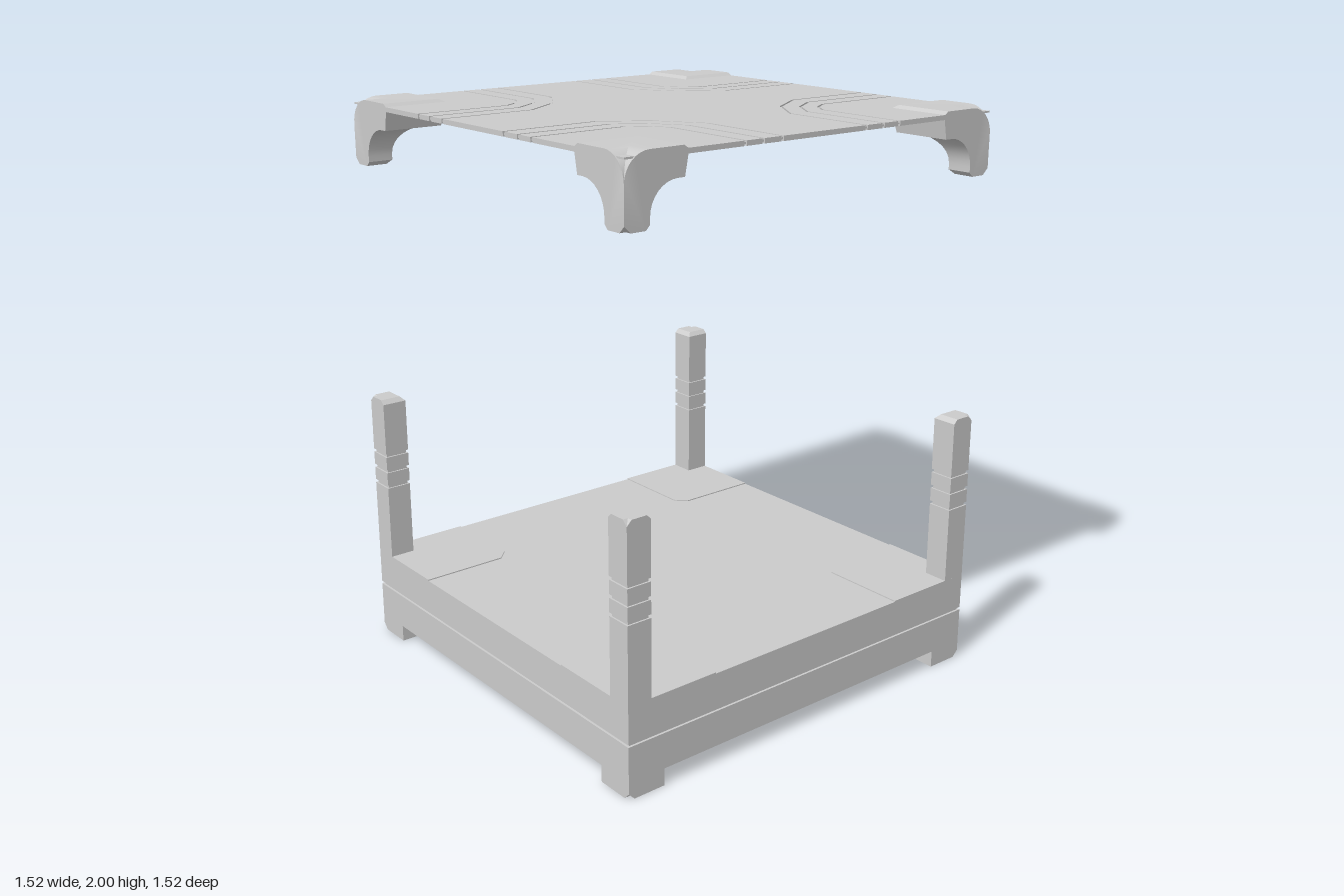
import * as THREE from 'three';
import { mergeGeometries, toCreasedNormals } from 'three/addons/utils/BufferGeometryUtils.js';

const E = 0.76; // half width of the whole model
const grey = new THREE.MeshStandardMaterial({ color: 0xcccccc });

function add(parent, name, geometry) {
  const mesh = new THREE.Mesh(geometry, grey);
  mesh.name = name;
  parent.add(mesh);
  return mesh;
}

// Box between two heights, square in plan
function slab(parent, name, half, y0, y1, x = 0, z = 0) {
  const mesh = add(parent, name, new THREE.BoxGeometry(half * 2, y1 - y0, half * 2));
  mesh.position.set(x, (y0 + y1) / 2, z);
  return mesh;
}

// Plan outline [x, z] extruded between two heights
function plate(parent, name, points, y0, y1) {
  const shape = new THREE.Shape(points.map(([x, z]) => new THREE.Vector2(x, z)));
  const geo = new THREE.ExtrudeGeometry(shape, { depth: y1 - y0, bevelEnabled: false });
  geo.rotateX(Math.PI / 2);
  geo.translate(0, y1, 0);
  return add(parent, name, geo);
}

// Corner block: one profile [distance, y] on both outer faces, mitred on the diagonal
function mitred(profile) {
  const shape = new THREE.Shape(profile.map(([h, y]) => new THREE.Vector2(h, y)));
  const half = (swap) => {
    const geo = new THREE.ExtrudeGeometry(shape, { depth: 1, bevelEnabled: false });
    const p = geo.attributes.position;
    const out = [];
    for (let i = 0; i < p.count; i += 3) {
      for (const k of swap ? [0, 2, 1] : [0, 1, 2]) {
        const h = p.getX(i + k), y = p.getY(i + k);
        const d = h + (E - h) * p.getZ(i + k);
        out.push(...(swap ? [d, y, h] : [h, y, d]));
      }
    }
    const result = new THREE.BufferGeometry();
    result.setAttribute('position', new THREE.Float32BufferAttribute(out, 3));
    return result;
  };
  return toCreasedNormals(mergeGeometries([half(false), half(true)]), 0.4);
}

// Points along an arc
function arc(cx, cy, r, a0, a1, n = 8) {
  return Array.from({ length: n + 1 }, (_, i) => {
    const a = a0 + (a1 - a0) * i / n;
    return [cx + r * Math.cos(a), cy + r * Math.sin(a)];
  });
}

// Bent groove line across one quarter of the lid
function bend(d) {
  const m = 0.6 * d + 0.168;
  return [[E, d], [0.42, d], [m, m], [d, 0.42], [d, E]];
}

function buildPost(parent) {
  const post = new THREE.Group();
  post.name = 'post';
  const half = 0.045, c = E - half, gap = 0.006;
  slab(post, 'postCore', half - 0.006, 0.32, 0.9, c, c);
  // Sections parted by three shadow grooves
  const cuts = [0.3, 0.6, 0.66, 0.72, 0.9];
  for (let i = 0; i < 4; i++) {
    const top = i === 3 ? cuts[4] : cuts[i + 1] - gap;
    slab(post, 'postSection', half, cuts[i] + (i ? gap : 0), top, c, c);
  }
  add(post, 'postTip', mitred([
    [0.67, 0.9], [E, 0.9], [E, 0.912], [0.742, 0.93], [0.685, 0.93], [0.67, 0.915],
  ]));
  parent.add(post);
}

export function createModel() {
  const model = new THREE.Group();
  model.name = 'openCrate';

  // Base slab with a groove around the middle
  const base = new THREE.Group();
  base.name = 'base';
  slab(base, 'baseLower', E, 0.06, 0.185);
  slab(base, 'baseGroove', E - 0.008, 0.18, 0.2);
  slab(base, 'baseUpper', E, 0.195, 0.32);
  model.add(base);

  // Lid panel: thin core with raised plates on both faces
  const lid = new THREE.Group();
  lid.name = 'lid';
  slab(lid, 'lidCore', E - 0.004, 1.979, 1.985);
  const g = 0.005, y0 = 1.974, y1 = 1.99;
  const cross = [];
  for (let k = 0; k < 4; k++) {
    const c = [1, 0, -1, 0][k], s = [0, 1, 0, -1][k];
    for (const [x, z] of bend(0.175 - g)) cross.push([x * c - z * s, x * s + z * c]);
  }
  plate(lid, 'lidCross', cross, y0, y1);
  model.add(lid);

  // Four identical corners
  const bracketGeo = mitred([
    [0.685, 1.775], [0.738, 1.775], [E, 1.797],
    ...arc(0.67, 1.91, 0.09, 0, Math.PI / 2),
    [0.548, 2.0], [0.53, 1.988], [0.545, 1.91],
    ...arc(0.57, 1.81, 0.1, Math.PI / 2, 0),
    [0.67, 1.79],
  ]);
  const footGeo = mitred([[0.62, 0.07], [0.62, 0], [0.738, 0], [E, 0.022], [E, 0.07]]);
  for (let k = 0; k < 4; k++) {
    const corner = new THREE.Group();
    corner.name = 'corner';
    corner.rotation.y = k * Math.PI / 2;
    add(corner, 'foot', footGeo);
    buildPost(corner);
    // Slightly raised floor pad around the post
    plate(corner, 'floorPad',
      [[E, E], [0.41, E], [0.41, 0.45], [0.45, 0.41], [E, 0.41]], 0.315, 0.324);
    plate(corner, 'lidOuterBand', [...bend(0.175 + g), ...bend(0.25 - g).reverse()], y0, y1);
    plate(corner, 'lidInnerBand', [...bend(0.25 + g), ...bend(0.32 - g).reverse()], y0, y1);
    plate(corner, 'lidCornerPlate', [...bend(0.32 + g), [E, E - 0.1], [E - 0.1, E]].slice(0, 5)
      .concat([[E - 0.1, E], [E, E - 0.1]]), y0, y1);
    add(corner, 'lidBracket', bracketGeo);
    model.add(corner);
  }
  return model;
}
